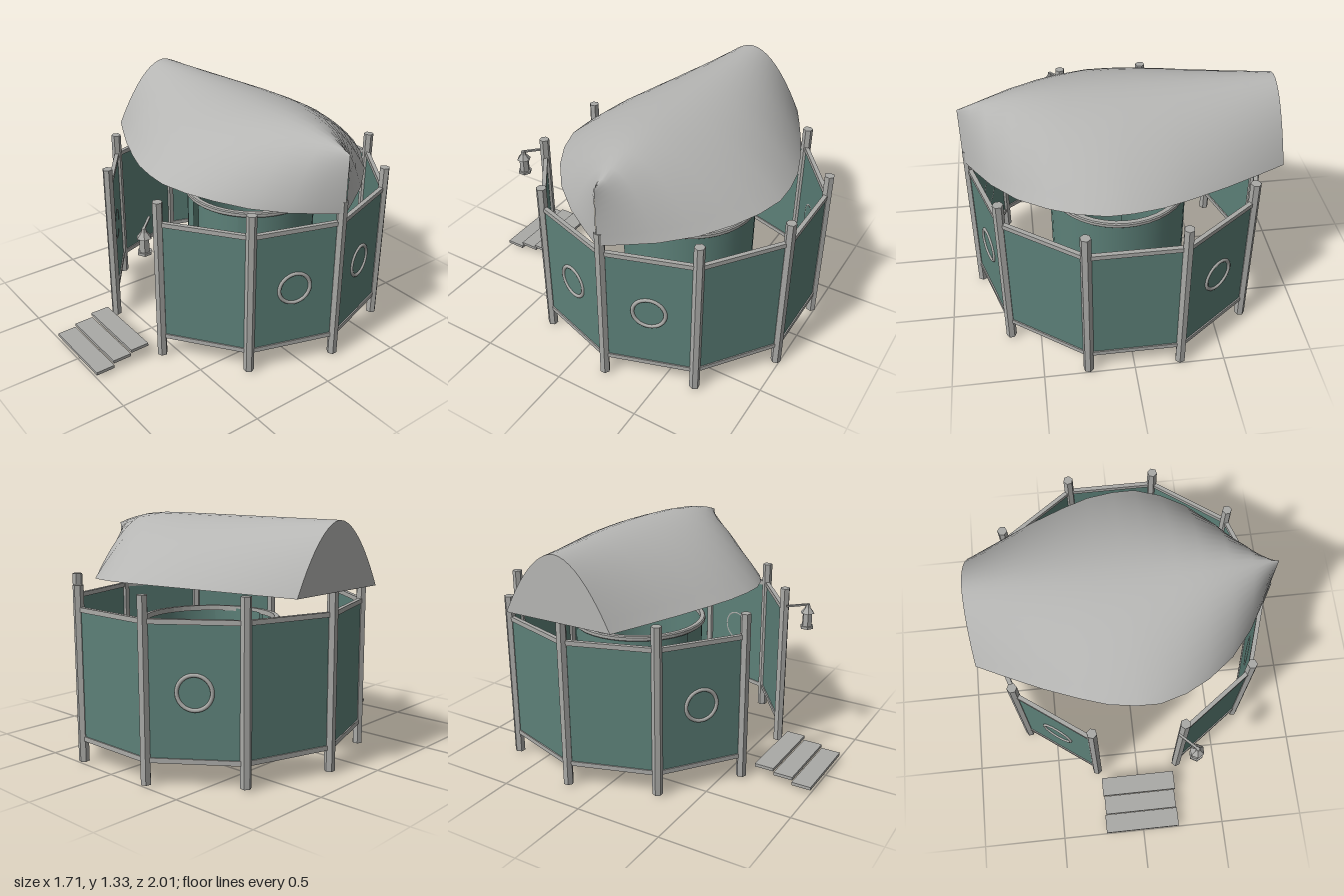
import * as THREE from 'three';

const DEG = Math.PI / 180;
const CZ = -0.195; // centre of the ten-sided wall
const R = 0.825;

const timber = new THREE.MeshStandardMaterial({ color: 0xaaaaa7 });
timber.name = 'grey timber';
const roofMat = new THREE.MeshStandardMaterial({ color: 0xb6b6b4, side: THREE.DoubleSide });
roofMat.name = 'pale roof';
const green = new THREE.MeshStandardMaterial({ color: 0x5c8078, side: THREE.DoubleSide });
green.name = 'sea green';

function add(parent, name, geo, mat, x = 0, y = 0, z = 0) {
  const m = new THREE.Mesh(geo, mat);
  m.name = name;
  m.position.set(x, y, z);
  parent.add(m);
  return m;
}

// Flat ring with a rectangular section
function ringGeo(inner, outer, y0, y1, bevel) {
  const pts = [[inner, y0], [outer - bevel, y0], [outer, y0 + bevel], [outer, y1 - bevel],
    [outer - bevel, y1], [inner, y1], [inner, y0]].map(p => new THREE.Vector2(...p));
  return new THREE.LatheGeometry(pts, 40).toNonIndexed();
}

// Canopy: parabolic cross-sections lofted along x, closing to a vertical edge
function roofGeo() {
  // x, half width, eave height, ridge height
  const sections = [
    [-0.86, 0.335, 0.968, 1.33], [-0.7, 0.415, 0.977, 1.33], [-0.5, 0.51, 0.988, 1.33],
    [-0.3, 0.59, 0.996, 1.33], [-0.15, 0.64, 1, 1.33], [0, 0.663, 1, 1.33], [0.13, 0.665, 0.998, 1.33],
    [0.28, 0.62, 0.99, 1.33], [0.42, 0.545, 0.978, 1.328], [0.57, 0.425, 0.956, 1.315],
    [0.7, 0.265, 0.935, 1.29], [0.78, 0.13, 0.922, 1.27], [0.85, 0.002, 0.91, 1.247],
  ];
  const n = 20, pos = [], idx = [];
  for (const [x, w, e, top] of sections) {
    for (let j = 0; j <= n; j++) {
      const t = (j / n) * 2 - 1;
      pos.push(x, top - (top - e) * Math.pow(Math.abs(t), 1.85), CZ + t * w);
    }
  }
  for (let i = 0; i < sections.length - 1; i++) {
    for (let j = 0; j < n; j++) {
      const a = i * (n + 1) + j, b = a + n + 1;
      idx.push(a, a + 1, b, b, a + 1, b + 1);
    }
  }
  const g = new THREE.BufferGeometry();
  g.setAttribute('position', new THREE.Float32BufferAttribute(pos, 3));
  g.setIndex(idx);
  g.computeVertexNormals();
  // Flat gable at the wide end
  const cap = new THREE.BufferGeometry();
  cap.setAttribute('position', new THREE.Float32BufferAttribute(pos.slice(0, (n + 1) * 3), 3));
  const ci = [];
  for (let j = 1; j < n; j++) ci.push(0, j + 1, j);
  cap.setIndex(ci);
  cap.computeVertexNormals();
  return [g, cap];
}

export function createModel() {
  const model = new THREE.Group();
  model.name = 'pavilion';

  // Posts on the corners of a decagon
  const postGeo = new THREE.CylinderGeometry(0.029, 0.029, 0.97, 6).toNonIndexed();
  postGeo.computeVertexNormals();
  for (let i = 0; i < 10; i++) {
    const a = i * 36 * DEG;
    const p = add(model, 'post', postGeo, timber, R * Math.cos(a), 0.495, CZ + R * Math.sin(a));
    p.rotation.y = -a;
  }

  // Wall bays: panel, two rails and some portholes; the front bay stays open
  const side = 2 * R * Math.sin(18 * DEG), apothem = R * Math.cos(18 * DEG);
  const portholes = [18, 126, 234, 342];
  for (let i = 0; i < 10; i++) {
    const d = 18 + i * 36;
    if (d === 90) continue;
    const bay = new THREE.Group();
    bay.name = 'wallBay';
    bay.position.set(apothem * Math.cos(d * DEG), 0, CZ + apothem * Math.sin(d * DEG));
    bay.rotation.y = (90 - d) * DEG;
    add(bay, 'wallPanel', new THREE.BoxGeometry(side - 0.04, 0.72, 0.01), green, 0, 0.495, 0);
    for (const y of [0.14, 0.85]) {
      add(bay, 'rail', new THREE.BoxGeometry(side - 0.03, 0.026, 0.024), timber, 0, y, 0);
    }
    if (portholes.includes(d)) {
      add(bay, 'portholeRing', new THREE.TorusGeometry(0.09, 0.011, 8, 32), timber, 0, 0.495, 0.004);
    }
    model.add(bay);
  }

  // Inner round room with rings at top and bottom
  const room = new THREE.Group();
  room.name = 'innerRoom';
  room.position.z = -0.25;
  const r = 0.388, wallH = 0.7, wallY = 0.385;
  add(room, 'roundWall', new THREE.CylinderGeometry(r, r, wallH, 36, 1, true, 40 * DEG, 310 * DEG), green, 0, wallY, 0);
  const flat = g => { g.computeVertexNormals(); return g; };
  add(room, 'baseRing', flat(ringGeo(0.378, 0.42, 0, 0.045, 0.012)), timber);
  add(room, 'topRing', flat(ringGeo(0.372, 0.402, 0.72, 0.75, 0.006)), timber);
  // Curved door, slightly ajar
  const door = new THREE.Group();
  door.name = 'door';
  const hx = r * Math.sin(40 * DEG), hz = r * Math.cos(40 * DEG);
  door.position.set(hx, 0, hz);
  door.rotation.y = -7 * DEG;
  add(door, 'doorLeaf', new THREE.CylinderGeometry(r, r, wallH, 10, 1, true, -10 * DEG, 50 * DEG), green, -hx, wallY, -hz);
  room.add(door);
  model.add(room);

  // Canopy roof
  const [shell, gable] = roofGeo();
  add(model, 'roofCanopy', shell, roofMat);
  add(model, 'roofGable', gable, roofMat);

  // Three floating treads
  for (let i = 0; i < 3; i++) {
    const w = 0.455 - (i === 1 ? 0.012 : 0);
    add(model, 'stepTread', new THREE.BoxGeometry(w, 0.018, 0.112), timber, -0.005, 0.031 + i * 0.026, 0.944 - i * 0.112);
  }

  // Hanging lantern and its bracket
  const lantern = new THREE.Group();
  lantern.name = 'lantern';
  lantern.position.set(0.312, 0, 0.712);
  const part = (name, rt, rb, y0, y1) => {
    const g = new THREE.CylinderGeometry(rt, rb, y1 - y0, 6).toNonIndexed();
    g.computeVertexNormals();
    add(lantern, name, g, timber, 0, (y0 + y1) / 2, 0);
  };
  part('lanternBase', 0.04, 0.04, 0.742, 0.757);
  part('lanternBody', 0.028, 0.03, 0.757, 0.835);
  part('lanternHood', 0.017, 0.042, 0.835, 0.866);
  part('lanternCap', 0.012, 0.017, 0.866, 0.888);
  const arm = add(lantern, 'lanternBracket', new THREE.BoxGeometry(0.135, 0.01, 0.013), timber, -0.045, 0.885, -0.045);
  arm.rotation.y = -45 * DEG;
  model.add(lantern);

  return model;
}
